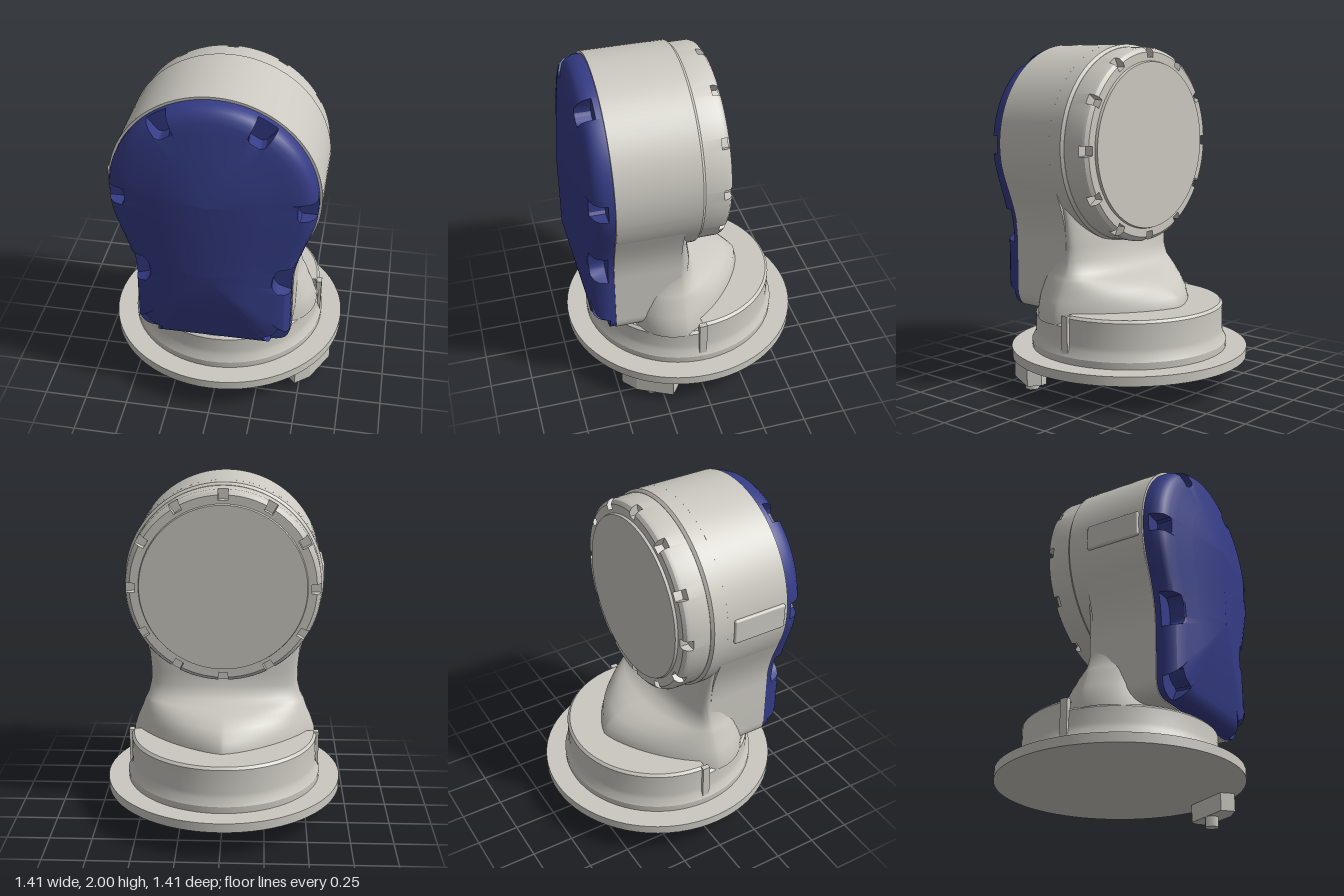
import * as THREE from 'three';
import { toCreasedNormals } from 'three/addons/utils/BufferGeometryUtils.js';
import { RoundedBoxGeometry } from 'three/addons/geometries/RoundedBoxGeometry.js';

const CY = 1.42; // height of the barrel axis

// Skin over a closed ring of columns, each running from the middle outwards
function loft(columns, crease) {
  const pos = [];
  columns.forEach((a, i) => {
    const b = columns[(i + 1) % columns.length];
    for (let k = 0; k < a.length - 1; k++) {
      for (const tri of [[a[k], a[k + 1], b[k + 1]], [a[k], b[k + 1], b[k]]]) {
        const area = new THREE.Triangle(...tri).getArea();
        if (area > 1e-9) tri.forEach((v) => pos.push(v.x, v.y, v.z));
      }
    }
  });
  const g = new THREE.BufferGeometry();
  g.setAttribute('position', new THREE.Float32BufferAttribute(pos, 3));
  return toCreasedNormals(g, crease);
}

// Columns of a ring; where a notch starts or ends both profiles are kept, which makes its side walls
function notchedColumns(count, notchAt, column) {
  const columns = [];
  for (let i = 0; i < count; i++) {
    const prev = notchAt((i + count - 1) % count);
    const here = notchAt(i);
    const next = notchAt((i + 1) % count);
    if (here && !prev) columns.push(column(i, null));
    columns.push(column(i, here));
    if (here && !next) columns.push(column(i, null));
  }
  return columns;
}

// Keyhole outline: round head, narrower foot with rounded corners
function keyhole(r, w, bottom) {
  const s = new THREE.Shape();
  const a = 0.2, ax = r * Math.cos(a), ay = CY - r * Math.sin(a);
  s.moveTo(0, bottom);
  s.lineTo(w - 0.1, bottom);
  s.quadraticCurveTo(w, bottom, w, bottom + 0.1);
  s.lineTo(w, 0.85);
  s.bezierCurveTo(w, 1.04, ax - 0.035, 1.16, ax, ay);
  s.absarc(0, CY, r, -a, Math.PI + a, false);
  s.bezierCurveTo(-ax + 0.035, 1.16, -w, 1.04, -w, 0.85);
  s.lineTo(-w, bottom + 0.1);
  s.quadraticCurveTo(-w, bottom, -w + 0.1, bottom);
  s.closePath();
  return s;
}

// Domed front cover with screw notches along the edge
function coverGeometry() {
  const n = 300;
  const pts = keyhole(0.566, 0.441, 0.45).getSpacedPoints(n).slice(0, n);
  const profile = [[0, 0.7], [0.5, 0.648], [0.76, 0.621], [0.86, 0.61], [0.93, 0.597], [0.975, 0.572], [1, 0.535], [1, 0.488]];
  // x, y, half width, inner edge
  const notches = [[0.29, 1.905, 0.065, 0.79], [0.566, 1.42, 0.062, 0.82], [0.441, 0.94, 0.105, 0.77], [0.41, 0.475, 0.085, 0.84]];
  const notchAt = (i) => {
    for (const [x, y, half, inner] of notches) {
      const d = Math.hypot(Math.abs(pts[i].x) - x, pts[i].y - y) / half;
      if (d < 1) return { t: inner + (1 - inner) * 0.35 * d ** 5 };
    }
    return null;
  };
  const column = (i, notch) => {
    const p = pts[i];
    const sy = THREE.MathUtils.clamp(p.y, 0.98, 1.46);
    const prof = notch
      ? [...profile.slice(0, 3), [notch.t, 0.614], [notch.t, 0.525], [1, 0.525], [1, 0.525], profile[7]]
      : profile;
    return prof.map(([t, z]) => new THREE.Vector3(p.x * t, sy + (p.y - sy) * t, z));
  };
  return loft(notchedColumns(n, notchAt, column), 0.5);
}

// Round rear cap with twelve notches in its rim
function capGeometry() {
  const n = 240;
  const profile = [[0, -0.17], [0.48, -0.17], [0.485, -0.155], [0.535, -0.155], [0.555, -0.14], [0.563, -0.12], [0.563, 0.02]];
  const cut = [...profile.slice(0, 3), [0.505, -0.155], [0.505, -0.105], [0.563, -0.105], [0.563, 0.02]];
  const notchAt = (i) => Math.abs(((i + 10) % 20) - 10) <= 2;
  const column = (i, notch) => {
    const a = (-i / n) * Math.PI * 2;
    return (notch ? cut : profile).map(([r, z]) => new THREE.Vector3(r * Math.cos(a), CY + r * Math.sin(a), z));
  };
  return loft(notchedColumns(n, notchAt, column), 0.5);
}

// Neck flowing from the housing down into the base, with a hump at the back
function neckGeometry() {
  // y, half width, back z, roundness of the back
  const rows = [
    [1.3, 0.52, 0.03, 2.5], [1.0, 0.455, 0.03, 2.5], [0.85, 0.443, 0.0, 2.4], [0.77, 0.447, 0.0, 2.2],
    [0.7, 0.465, -0.045, 2], [0.67, 0.48, -0.12, 1.8], [0.65, 0.49, -0.2, 1.6], [0.605, 0.505, -0.29, 1.5],
    [0.55, 0.53, -0.36, 1.4], [0.48, 0.553, -0.374, 1.4], [0.42, 0.556, -0.378, 1.4],
  ];
  const columns = [];
  for (let i = 0; i < 96; i++) {
    const a = (i / 96) * Math.PI * 2;
    const c = Math.cos(a), s = Math.sin(a);
    columns.push(rows.map(([y, hx, back, p]) => {
      const e = 2 / (s > 0 ? p : 2.2);
      const depth = s > 0 ? back - 0.1 : 0.35;
      return new THREE.Vector3(Math.sign(c) * Math.abs(c) ** e * hx, y, 0.1 + Math.abs(s) ** e * depth);
    }));
  }
  return loft(columns, 1.2);
}

function lathe(points, segments, start = 0, sweep = Math.PI * 2) {
  const g = new THREE.LatheGeometry(points.map(([x, y]) => new THREE.Vector2(x, y)), segments, start, sweep);
  return toCreasedNormals(g, 0.5);
}

export function createModel() {
  const model = new THREE.Group();
  const grey = new THREE.MeshStandardMaterial({ color: 0xcac8c0, side: THREE.DoubleSide });
  grey.name = 'warm grey';
  const blue = new THREE.MeshStandardMaterial({ color: 0x353c86, side: THREE.DoubleSide });
  blue.name = 'deep blue';
  const add = (name, geometry, material = grey, x = 0, y = 0, z = 0) => {
    const mesh = new THREE.Mesh(geometry, material);
    mesh.name = name;
    mesh.position.set(x, y, z);
    model.add(mesh);
    return mesh;
  };

  // Base: flange and stepped collar, taller at the back
  add('flange', new THREE.CylinderGeometry(0.707, 0.707, 0.055, 72), grey, 0, 0.1925, 0);
  const collar = [[0.583, 0.21], [0.585, 0.26], [0.565, 0.3], [0.56, 0.33]];
  add('frontCollar', lathe([...collar, [0.56, 0.42], [0.545, 0.435], [0, 0.435]], 36, -Math.PI / 2, Math.PI));
  add('rearCollar', lathe([...collar, [0.56, 0.475], [0.545, 0.49], [0, 0.49]], 36, Math.PI / 2, Math.PI));
  for (const side of [-1, 1]) {
    add('collarSeam', new THREE.BoxGeometry(0.03, 0.275, 0.045), grey, side * 0.562, 0.352, 0);
  }

  // Connector below the flange
  const plug = new THREE.Shape([[0.48, -0.48], [0.42, -0.42], [0.56, -0.16], [0.6, -0.16], [0.665, -0.21], [0.565, -0.41]]
    .map(([x, y]) => new THREE.Vector2(x, y)));
  const plugGeometry = new THREE.ExtrudeGeometry(plug, { depth: 0.12, bevelEnabled: false });
  plugGeometry.rotateX(-Math.PI / 2);
  add('connector', plugGeometry, grey, 0, 0.06, 0);
  add('connectorPin', new THREE.CylinderGeometry(0.043, 0.043, 0.07, 6), grey, 0.528, 0.035, 0.305);

  // Housing: neck, keyhole body and round barrel
  add('neck', neckGeometry());
  const body = new THREE.ExtrudeGeometry(keyhole(0.58, 0.446, 0.445), { depth: 0.39, bevelEnabled: false, curveSegments: 40 });
  add('housing', toCreasedNormals(body, 0.5), grey, 0, 0, 0.1);
  const barrel = lathe([[0, 0], [0.565, 0], [0.58, 0.015], [0.58, 0.485], [0, 0.485]], 80);
  barrel.rotateX(Math.PI / 2);
  add('barrel', barrel, grey, 0, CY, 0);
  add('sidePlate', new RoundedBoxGeometry(0.03, 0.15, 0.33, 3, 0.012), grey, -0.577, 1.425, 0.305);

  add('rearCap', capGeometry());
  add('frontCover', coverGeometry(), blue);
  return model;
}
